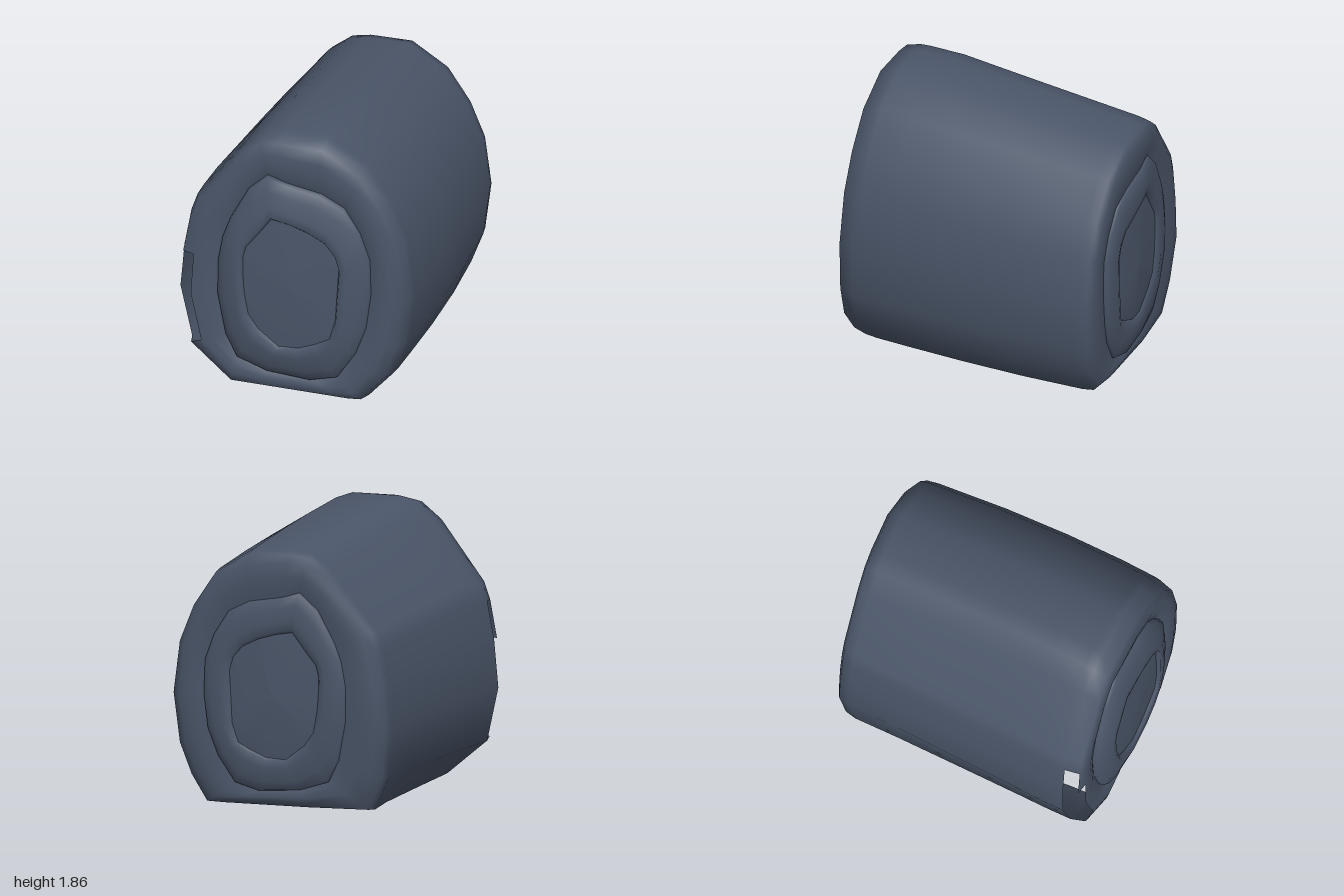
import * as THREE from 'three';

// Matching cross-sections, clockwise from the lower -x corner
const outer = [[-.65, 0], [-.76, .24], [-.8, .6], [-.775, .92], [-.73, 1.18], [-.69, 1.3], [-.37, 1.72], [-.23, 1.83], [-.1, 1.855], [.2, 1.855],
  [.47, 1.69], [.64, 1.44], [.75, 1.17], [.8, .79], [.76, .42], [.68, .19], [.57, 0], [.44, 0], [-.2, 0]];
const crease = [[-.36, .2], [-.44, .36], [-.5, .65], [-.5, .9], [-.47, 1.08], [-.42, 1.22], [-.3, 1.45], [-.17, 1.57], [-.04, 1.53], [.2, 1.49],
  [.36, 1.41], [.47, 1.24], [.54, 1.05], [.55, .8], [.52, .55], [.45, .35], [.33, .16], [.15, .11], [-.15, .13]];
const coreEdge = [[-.2, .46], [-.27, .56], [-.3, .72], [-.31, .87], [-.31, .97], [-.29, 1.05], [-.22, 1.14], [-.12, 1.28], [0, 1.26], [.13, 1.22],
  [.25, 1.16], [.32, 1.08], [.35, .98], [.34, .8], [.33, .6], [.29, .46], [.2, .41], [.08, .36], [-.06, .35]];
const centre = outer.map(() => [.02, .8]);
const sections = [outer, crease, coreEdge, centre];
const N = outer.length;
// Columns along the lower edges that curl inwards towards the front
const curl = { 0: .25, 1: .05, 16: -.06 };

// Point on a section blend: s = 0 outer wall, 1 crease, 2 core edge, 3 centre
function point(s, j, z) {
  const k = Math.min(2, Math.floor(s)), f = s - k;
  const a = sections[k][j], b = sections[k + 1][j];
  let x = a[0] + (b[0] - a[0]) * f, y = a[1] + (b[1] - a[1]) * f;
  const t = THREE.MathUtils.clamp((.43 - z) / 1.36, 0, 1);
  const forward = THREE.MathUtils.clamp((z + .9) / 1.8, 0, 1);
  // both ends lean a little
  if (z > .75) z -= .06 * x + .035 * (y - .9);
  if (z < -.7) z += .14 * Math.max(.1 - x, 0) + .1 * Math.max(.6 - y, 0);
  x += (curl[j] ?? 0) * forward * Math.max(1 - s, 0);
  // the roll narrows and sinks towards the back
  x = x * (1 - .055 * t * t) - .045 * t * t;
  y *= 1 - .083 * t;
  return [x, y, z];
}

// Loft through [s, z] stations ordered back to front; skip(i, j) leaves openings
function loft(stations, skip = () => false) {
  const pos = [], idx = [];
  for (const [s, z] of stations) for (let j = 0; j < N; j++) pos.push(...point(s, j, z));
  for (let i = 0; i < stations.length - 1; i++) {
    for (let j = 0; j < N; j++) {
      if (skip(i, j)) continue;
      const a = i * N + j, c = i * N + (j + 1) % N, b = a + N, d = c + N;
      idx.push(a, b, c, b, d, c);
    }
  }
  const g = new THREE.BufferGeometry();
  g.setAttribute('position', new THREE.Float32BufferAttribute(pos, 3));
  g.setIndex(idx);
  g.computeVertexNormals();
  return g;
}

export function createModel() {
  const group = new THREE.Group();
  group.name = 'rolledMat';
  const cloth = new THREE.MeshStandardMaterial({ color: 0x4a5568, side: THREE.DoubleSide });
  cloth.name = 'slateCloth';
  const add = (name, geometry) => {
    const mesh = new THREE.Mesh(geometry, cloth);
    mesh.name = name;
    group.add(mesh);
  };

  // Outer layer: back rim, long wall, front rim; open underneath, with a torn gap at the front -x edge
  const wall = [
    [1, -.96], [.85, -.97], [.55, -.985], [.25, -.98], [.04, -.955], [0, -.88],
    [0, -.4], [0, .05], [0, .45], [0, .7], [.02, .79],
    [.12, .89], [.4, .907], [.65, .907], [.87, .895], [1, .88],
  ];
  const underside = (i, j) => i >= 4 && i <= 10 && j >= 17;
  const tear = (i, j) => (i === 10 && j >= 1 && j <= 3) || (i === 11 && (j === 1 || j === 2));
  add('outerLayer', loft(wall, (i, j) => underside(i, j) || tear(i, j)));

  // Second turn of the roll at each end
  add('frontInnerTurn', loft([[1, .88], [1.03, .91], [1.3, .942], [1.7, .97], [1.93, .972], [2, .945]]));
  add('backInnerTurn', loft([[2, -.97], [1.93, -.985], [1.7, -1], [1.3, -.995], [1.03, -.98], [1, -.96]]));

  // Slightly sunken core of the roll at each end
  add('frontCore', loft([[2, .945], [2.3, .955], [3, .965]]));
  add('backCore', loft([[3, -.98], [2.3, -.975], [2, -.97]]));
  return group;
}
